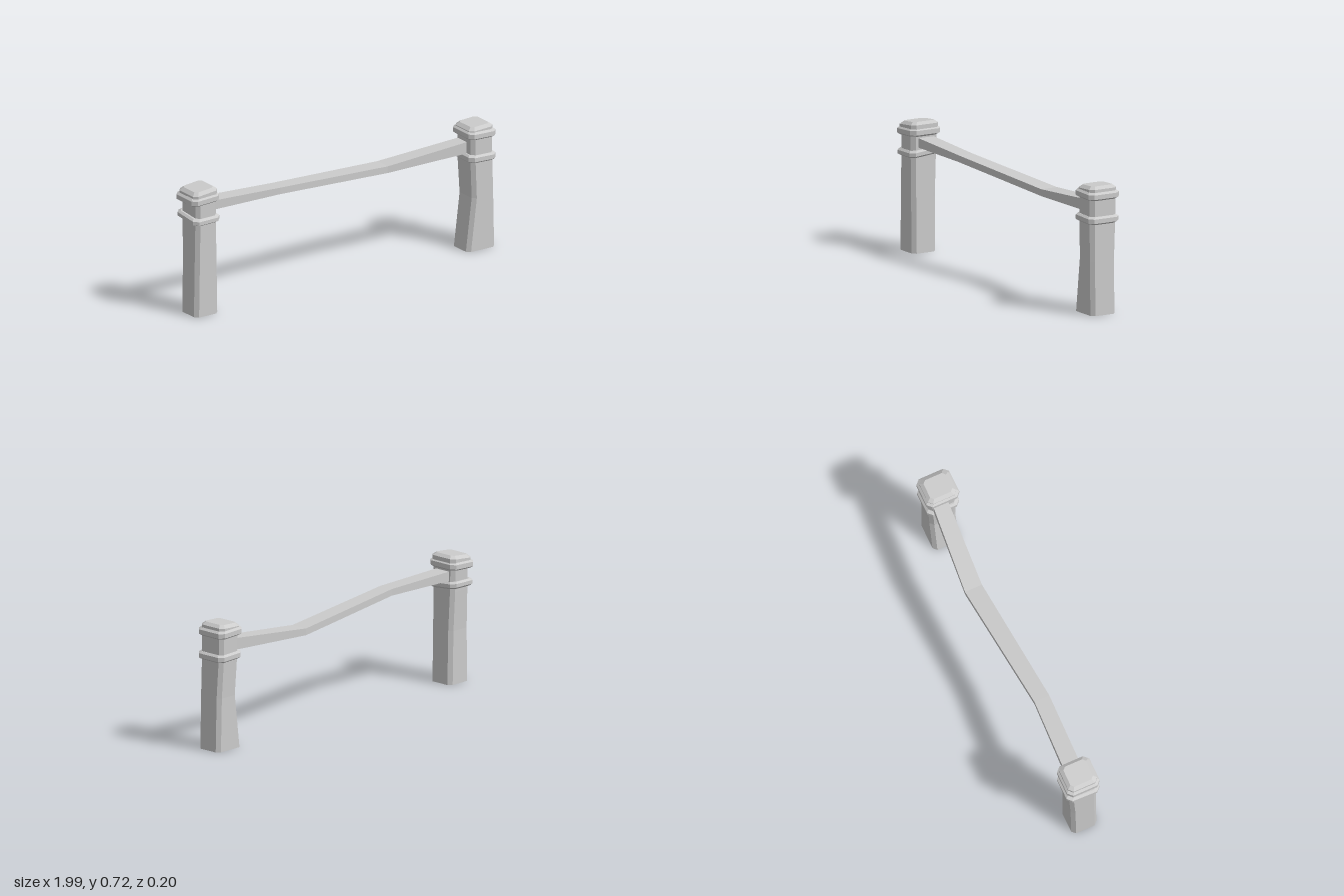
import * as THREE from 'three';

const material = new THREE.MeshStandardMaterial({ color: 0xcccccc, flatShading: true, side: THREE.DoubleSide });

// Flat-shaded skin over equal-sized rings of points (rings run counter-clockwise about the sweep axis)
function loft(name, rings, capStart = true, capEnd = true) {
  const n = rings[0].length, pos = [], idx = [];
  rings.forEach(r => r.forEach(p => pos.push(...p)));
  for (let k = 0; k < rings.length - 1; k++) {
    for (let i = 0; i < n; i++) {
      const a = k * n + i, b = k * n + (i + 1) % n;
      idx.push(a, b, b + n, a, b + n, a + n);
    }
  }
  const last = (rings.length - 1) * n;
  for (let i = 1; i < n - 1; i++) {
    if (capStart) idx.push(0, i + 1, i);
    if (capEnd) idx.push(last, last + i, last + i + 1);
  }
  const indexed = new THREE.BufferGeometry();
  indexed.setAttribute('position', new THREE.Float32BufferAttribute(pos, 3));
  indexed.setIndex(idx);
  const geometry = indexed.toNonIndexed();
  geometry.computeVertexNormals();
  const mesh = new THREE.Mesh(geometry, material);
  mesh.name = name;
  return mesh;
}

// Rectangle with cut corners at height y, tilted by slopes along x and z
function section(y, [x0, x1, z0, z1], c, inset = 0, slopeX = 0, slopeZ = 0) {
  x0 += inset; x1 -= inset; z0 += inset; z1 -= inset;
  const cx = (x0 + x1) / 2;
  return [
    [x0, z1 - c], [x0 + c, z1], [x1 - c, z1], [x1, z1 - c],
    [x1, z0 + c], [x1 - c, z0], [x0 + c, z0], [x0, z0 + c],
  ].map(([x, z]) => [x, y + slopeX * (x - cx) + slopeZ * z, z]);
}

// Moulding band with bevelled upper and lower edges
function band(name, y0, y1, rect, slopeX, slopeZ) {
  const steps = [[y0, 0.014], [y0 + 0.01, 0], [y1 - 0.01, 0], [y1, 0.012]];
  return loft(name, steps.map(([y, inset]) => section(y, rect, 0.025, inset, slopeX, slopeZ)));
}

function post(name, p) {
  const group = new THREE.Group();
  group.name = name;
  group.add(
    loft('shaft', p.shaft.map(([y, ...rect]) => section(y, rect, 0.02)), p.closedBase, true),
    band('lowerBand', ...p.lowerBand),
    band('upperBand', ...p.upperBand),
    // Cap: short wall, then a bevel up to a tilted flat top
    loft('cap', [
      section(0.66, p.cap, 0.022),
      section(p.capY, p.cap, 0.022, 0, p.capTilt),
      section(p.capY + 0.016, p.cap, 0.016, 0.019, p.capTilt),
    ]),
  );
  return group;
}

export function createModel() {
  const model = new THREE.Group();
  model.name = 'fence';

  // Straight post
  model.add(post('rightPost', {
    shaft: [
      [0, -0.98, -0.827, -0.066, 0.083],
      [0.3, -0.975, -0.832, -0.067, 0.083],
      [0.52, -0.971, -0.836, -0.076, 0.083],
      [0.67, -0.971, -0.836, -0.08, 0.083],
    ],
    closedBase: true,
    lowerBand: [0.53, 0.57, [-0.993, -0.82, -0.097, 0.097], 0.02, -0.09],
    upperBand: [0.637, 0.682, [-1, -0.82, -0.097, 0.095], 0.05, 0],
    cap: [-0.987, -0.828, -0.086, 0.085],
    capY: 0.698,
    capTilt: 0.1,
  }));

  // Post with a flared foot, hollow underneath
  model.add(post('leftPost', {
    shaft: [
      [0, 0.803, 0.988, -0.067, 0.085],
      [0.3, 0.841, 0.982, -0.068, 0.085],
      [0.52, 0.834, 0.977, -0.079, 0.083],
      [0.66, 0.834, 0.977, -0.08, 0.083],
    ],
    closedBase: false,
    lowerBand: [0.501, 0.545, [0.815, 0.992, -0.092, 0.098], -0.03, 0],
    upperBand: [0.633, 0.678, [0.813, 0.992, -0.096, 0.098], -0.03, 0],
    cap: [0.824, 0.978, -0.084, 0.085],
    capY: 0.688,
    capTilt: 0.05,
  }));

  // Crooked rail: rectangular sections [x, y0, y1, z0, z1] from post to post
  model.add(loft('rail', [
    [-0.86, 0.58, 0.633, -0.05, 0.045],
    [-0.41, 0.583, 0.62, -0.03, 0.058],
    [0.335, 0.53, 0.568, -0.099, 0.001],
    [0.86, 0.546, 0.612, -0.055, 0.03],
  ].map(([x, y0, y1, z0, z1]) => [[x, y0, z0], [x, y1, z0], [x, y1, z1], [x, y0, z1]])));

  return model;
}
